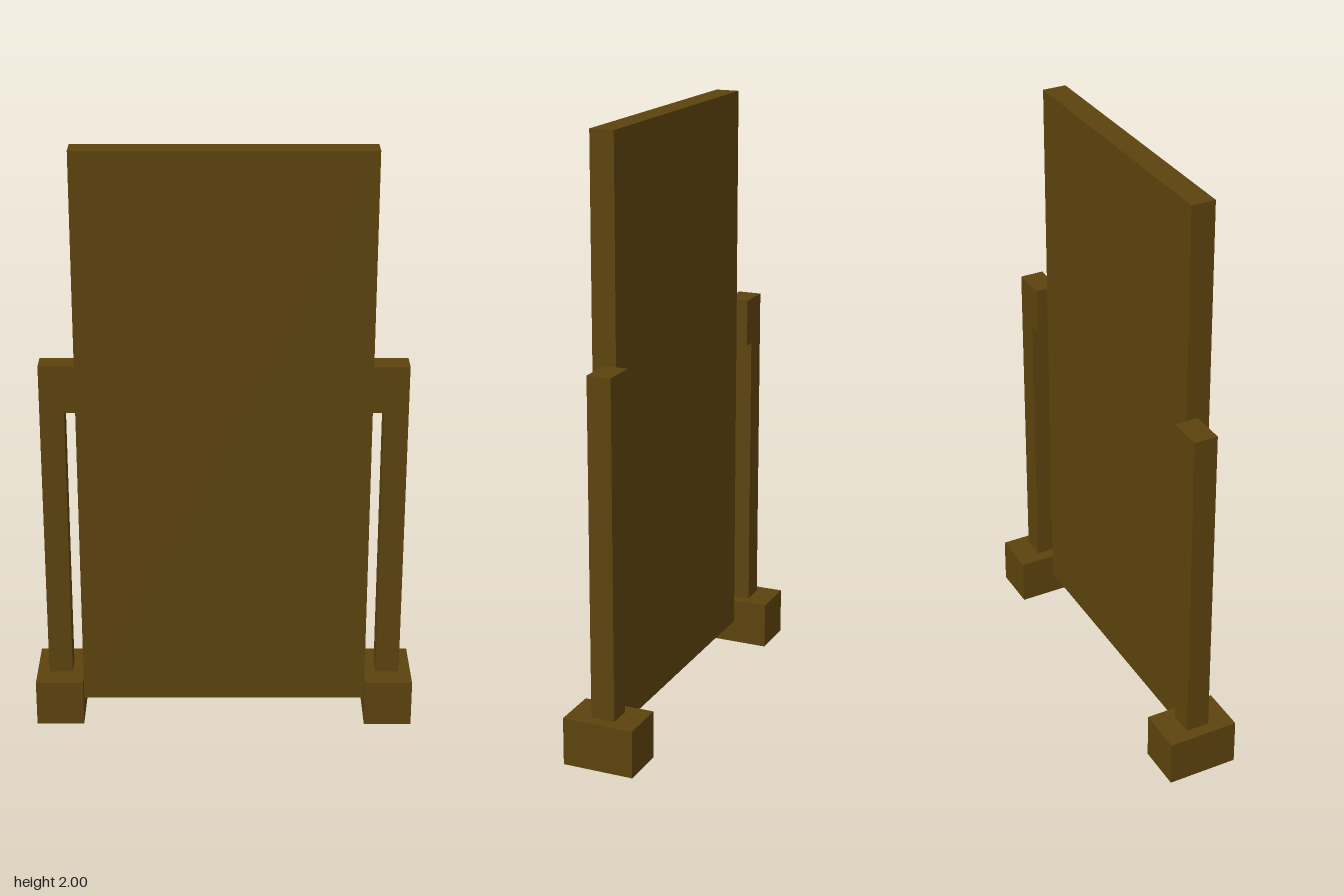
import * as THREE from 'three';

export function createModel() {
  const model = new THREE.Group();
  const wood = new THREE.MeshStandardMaterial({ color: 0x5c430e });
  wood.name = 'dark wood';

  // Box given by its lower and upper limits on each axis
  function addBox(parent, name, [x0, x1], [y0, y1], [z0, z1]) {
    const mesh = new THREE.Mesh(new THREE.BoxGeometry(x1 - x0, y1 - y0, z1 - z0), wood);
    mesh.position.set((x0 + x1) / 2, (y0 + y1) / 2, (z0 + z1) / 2);
    mesh.name = name;
    parent.add(mesh);
  }

  // Upright board, set forward of the posts' centre line
  addBox(model, 'panel', [-0.48, 0.48], [0.08, 2], [0, 0.08]);

  // Mirrored stands: foot block, post and the bracket holding the board
  for (const [side, s] of [['left', 1], ['right', -1]]) {
    const stand = new THREE.Group();
    stand.name = side + 'Stand';
    const span = (a, b) => (s > 0 ? [a, b] : [-b, -a]);
    addBox(stand, side + 'Foot', span(0.48, 0.64), [0, 0.16], [-0.12, 0.12]);
    addBox(stand, side + 'Post', span(0.52, 0.6), [0.16, 1.28], [-0.04, 0.04]);
    addBox(stand, side + 'Bracket', span(0.48, 0.52), [1.12, 1.28], [-0.04, 0.04]);
    model.add(stand);
  }
  return model;
}
